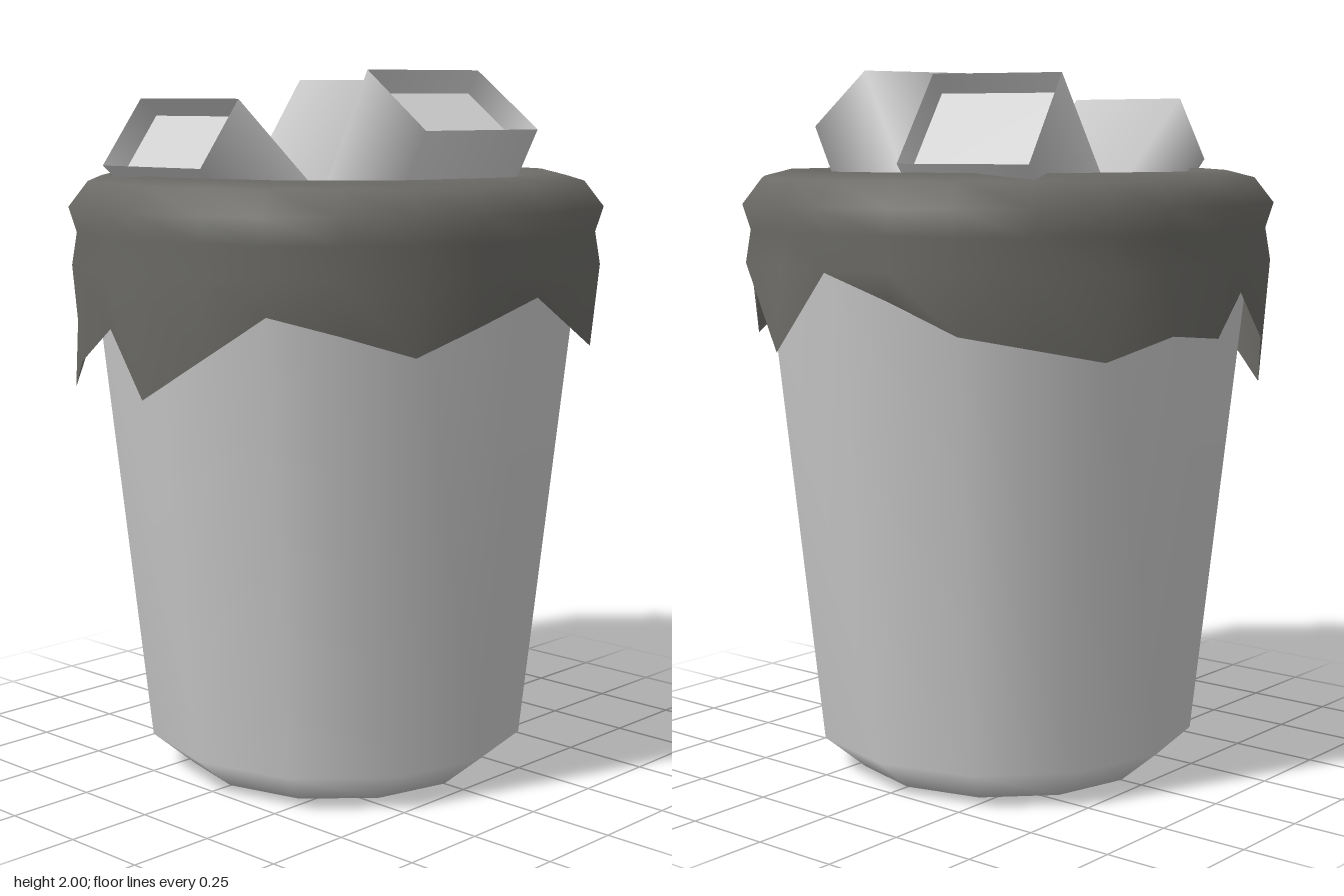
import * as THREE from 'three';
import { mergeVertices } from 'three/addons/utils/BufferGeometryUtils.js';

const grey = new THREE.MeshStandardMaterial({ color: 0xcccccc, side: THREE.DoubleSide });
const dark = new THREE.MeshStandardMaterial({ color: 0x6b6a66, side: THREE.DoubleSide });

function add(parent, name, geometry, material) {
  const mesh = new THREE.Mesh(geometry, material);
  mesh.name = name;
  parent.add(mesh);
  return mesh;
}

const lathe = (points, sides) =>
  new THREE.LatheGeometry(points.map(([r, y]) => new THREE.Vector2(r, y)), sides);

// Recompute smooth normals across seams
function smooth(geometry) {
  geometry.deleteAttribute('normal');
  geometry.deleteAttribute('uv');
  const merged = mergeVertices(geometry, 1e-4);
  merged.computeVertexNormals();
  return merged;
}

// Heights of the ragged hem, every 15 degrees starting from the front towards +x
const hem = [
  1.41, 1.325, 1.24, 1.35, 1.46, 1.24, 1.465, 1.39, 1.31, 1.275, 1.24, 1.3,
  1.28, 1.39, 1.25, 1.10, 1.20, 1.31, 1.14, 1.26, 1.38, 1.33, 1.275, 1.34,
];

// Liner: a bowl inside, rolled over the rim, hanging down in points outside
function linerGeometry() {
  const profile = [
    [0.735, 1.3], [0.758, 1.47], [0.743, 1.56], [0.765, 1.63], [0.71, 1.7],
    [0.63, 1.72], [0.56, 1.68], [0.51, 1.55], [0.4, 1.43], [0, 1.4],
  ];
  const geometry = lathe(profile, 24);
  const p = geometry.attributes.position;
  for (let k = 0; k < p.count; k++) {
    const seg = Math.floor(k / profile.length) % 24;
    const row = k % profile.length;
    // flatten every second column so the outline has twelve sides
    let s = seg % 2 ? Math.cos(Math.PI / 12) : 1;
    if (row === 0) {
      p.setY(k, hem[seg]);
      if (seg === 5 || seg === 11 || seg === 15) s = 1.02; // flared tips
    }
    p.setX(k, p.getX(k) * s);
    p.setZ(k, p.getZ(k) * s);
  }
  return smooth(geometry);
}

// Square container with a recessed end, leaning along a heading in the xz plane
function carton(name, rim, heading, rise, width, height, length) {
  const group = new THREE.Group();
  group.name = name;
  const tube = new THREE.CylinderGeometry(Math.SQRT1_2, Math.SQRT1_2, length, 4, 1, true);
  tube.rotateY(Math.PI / 4).scale(width, 1, height).translate(0, -length / 2, 0);
  add(group, 'cartonWalls', tube, grey);
  for (const [part, y] of [['recessedEnd', -0.075], ['cartonBase', -length]]) {
    const end = new THREE.PlaneGeometry(width, height).rotateX(-Math.PI / 2).translate(0, y, 0);
    add(group, part, end, grey);
  }
  const h = new THREE.Vector3(heading[0], 0, heading[1]).normalize();
  const side = new THREE.Vector3(h.z, 0, -h.x);
  const axis = h.multiplyScalar(Math.sqrt(1 - rise * rise)).setY(rise);
  const third = new THREE.Vector3().crossVectors(side, axis);
  group.quaternion.setFromRotationMatrix(new THREE.Matrix4().makeBasis(side, axis, third));
  group.position.set(...rim);
  return group;
}

export function createModel() {
  const model = new THREE.Group();
  model.name = 'wasteBin';

  // Tapered twelve-sided bin with a bevelled foot
  const bin = lathe([[0, 0], [0.43, 0], [0.55, 0.1], [0.715, 1.62]], 12);
  add(model, 'bin', smooth(bin), grey);

  add(model, 'liner', linerGeometry(), dark);

  // Rubbish sticking out of the top
  model.add(carton('leftCarton', [-0.56, 1.835, -0.075], [-1, 0.05], 0.63, 0.37, 0.23, 0.66));
  model.add(carton('rightCarton', [0.455, 1.86, -0.29], [0.96, -0.27], 0.68, 0.37, 0.32, 0.68));
  model.add(carton('frontCarton', [-0.015, 1.922, 0.45], [-0.186, 0.98], 0.85, 0.38, 0.3, 0.54));
  return model;
}
